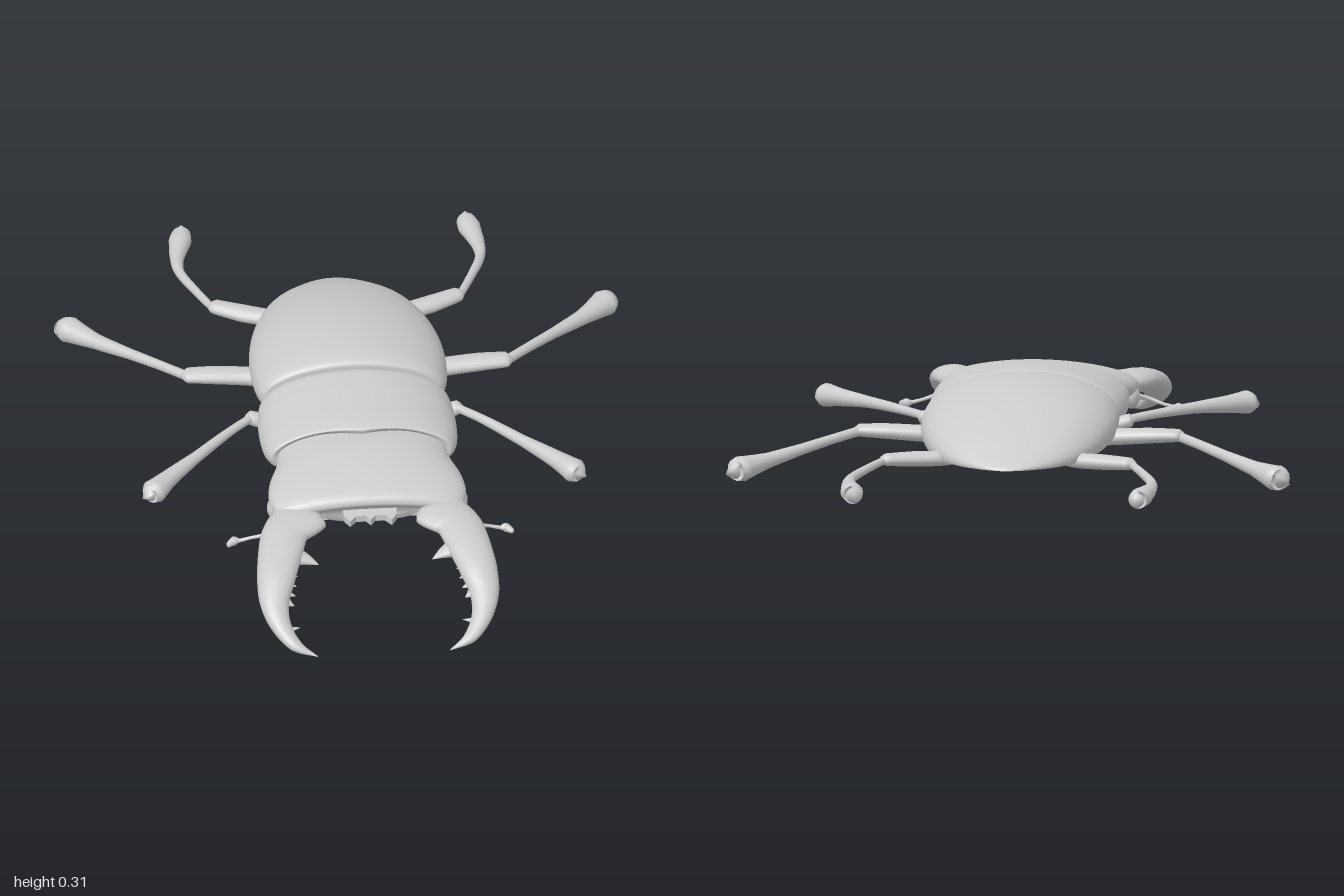
import * as THREE from 'three';

const solid = new THREE.MeshStandardMaterial({ color: 0xcccccc });
const thin = new THREE.MeshStandardMaterial({ color: 0xcccccc, side: THREE.DoubleSide });
const UP = new THREE.Vector3(0, 1, 0);

// Indexed surface from rows of points; closed joins the last column to the first
function grid(rows, cols, closed, point) {
  const pos = [], index = [], n = closed ? cols : cols + 1;
  for (let i = 0; i <= rows; i++)
    for (let j = 0; j < n; j++) pos.push(...point(i / rows, j / cols));
  for (let i = 0; i < rows; i++)
    for (let j = 0; j < cols; j++) {
      const a = i * n + j, c = i * n + (j + 1) % n;
      index.push(a, a + n, c, c, a + n, c + n);
    }
  const g = new THREE.BufferGeometry();
  g.setAttribute('position', new THREE.Float32BufferAttribute(pos, 3));
  g.setIndex(index);
  g.computeVertexNormals();
  return g;
}

function lerpAt(list, u) {
  const f = u * (list.length - 1), i = Math.min(Math.floor(f), list.length - 2);
  return list[i] + (list[i + 1] - list[i]) * (f - i);
}

function add(parent, name, geometry, material = solid) {
  const m = new THREE.Mesh(geometry, material);
  m.name = name;
  parent.add(m);
  return m;
}

// Tapering limb through stations [x, y, z, halfWidth, halfHeight], mirrored by side
function limb(parent, name, side, stations, sides = 16) {
  const path = new THREE.CatmullRomCurve3(stations.map(s => new THREE.Vector3(s[0] * side, s[1], s[2])));
  const w = stations.map(s => s[3]), h = stations.map(s => s[4] ?? s[3]);
  const g = grid((stations.length - 1) * 6, sides, true, (u, v) => {
    const t = path.getTangent(u), s = new THREE.Vector3().crossVectors(t, UP).normalize();
    const n = new THREE.Vector3().crossVectors(s, t), a = v * Math.PI * 2;
    return path.getPoint(u).addScaledVector(s, Math.cos(a) * lerpAt(w, u))
      .addScaledVector(n, Math.sin(a) * lerpAt(h, u)).toArray();
  });
  return add(parent, name, g);
}

// Arched shell, stations front to back [z, halfWidth, edgeY, topY]; the rim curls under
function shell(parent, name, stations, curl = 0.3, shift = () => 0) {
  const path = new THREE.CatmullRomCurve3(stations.map(s => new THREE.Vector3(s[1], s[3], s[0])));
  const edge = stations.map(s => s[2]);
  const g = grid((stations.length - 1) * 6, 40, false, (u, v) => {
    const p = path.getPoint(u), e = lerpAt(edge, u);
    const a = -curl + v * (Math.PI + 2 * curl);
    const x = Math.max(p.x, 0) * Math.cos(a);
    return [x, e + (p.y - e) * Math.sin(a), p.z + shift(x, u)];
  });
  return add(parent, name, g, thin);
}

export function createModel() {
  const beetle = new THREE.Group();
  beetle.name = 'beetle';

  // Body shells
  shell(beetle, 'wingCases', [
    [-0.035, 0.235, 0.205, 0.283], [-0.04, 0.258, 0.2, 0.305], [-0.07, 0.272, 0.198, 0.316],
    [-0.2, 0.282, 0.188, 0.315], [-0.33, 0.27, 0.178, 0.298], [-0.45, 0.24, 0.166, 0.267],
    [-0.56, 0.19, 0.156, 0.226], [-0.64, 0.122, 0.15, 0.185], [-0.69, 0.05, 0.147, 0.157],
    [-0.703, 0, 0.145, 0.146]], 0.2);
  shell(beetle, 'pronotum', [
    [0.262, 0.24, 0.205, 0.268], [0.262, 0.262, 0.2, 0.283], [0.22, 0.277, 0.19, 0.292],
    [0.13, 0.284, 0.185, 0.3], [0.04, 0.28, 0.185, 0.306], [-0.01, 0.268, 0.19, 0.305],
    [-0.03, 0.24, 0.195, 0.283]], 0.35,
    (x, u) => u < 0.35 ? (1 - u / 0.35) * -0.018 * Math.sin(Math.min(Math.abs(x) / 0.25, 1) * Math.PI) : 0);
  shell(beetle, 'head', [
    [0.5, 0, 0.15, 0.152], [0.515, 0.18, 0.155, 0.185], [0.528, 0.225, 0.165, 0.205],
    [0.515, 0.258, 0.175, 0.226], [0.46, 0.282, 0.18, 0.245], [0.38, 0.277, 0.182, 0.262],
    [0.3, 0.25, 0.19, 0.27], [0.22, 0.24, 0.2, 0.265]], 0.35);

  // Underside of the head and thorax
  shell(beetle, 'chin', [
    [0.515, 0.13, 0.18, 0.15], [0.5, 0.19, 0.19, 0.128], [0.43, 0.22, 0.19, 0.128],
    [0.35, 0.2, 0.19, 0.15], [0.28, 0.17, 0.2, 0.18]], 0);
  const sternum = add(beetle, 'sternum', new THREE.SphereGeometry(1, 28, 16));
  sternum.scale.set(0.22, 0.055, 0.16);
  sternum.position.set(0, 0.195, -0.04);

  // Notched lip between the jaws
  const lip = new THREE.Shape();
  [[-0.08, 0.49], [-0.075, 0.545], [-0.06, 0.572], [-0.042, 0.548], [-0.015, 0.545], [0, 0.568],
    [0.015, 0.545], [0.042, 0.548], [0.06, 0.572], [0.075, 0.545], [0.08, 0.49]]
    .forEach(([x, z], i) => i ? lip.lineTo(x, z) : lip.moveTo(x, z));
  const lipGeo = new THREE.ExtrudeGeometry(lip, { depth: 0.02, bevelEnabled: false });
  lipGeo.rotateX(Math.PI / 2);
  add(beetle, 'lip', lipGeo).position.y = 0.18;

  for (const side of [1, -1]) {
    const half = new THREE.Group();
    half.name = side > 0 ? 'leftLimbs' : 'rightLimbs';
    beetle.add(half);

    // Curved jaw with teeth on its inner edge
    limb(half, 'jaw', side, [
      [0.19, 0.17, 0.49, 0.04, 0.02], [0.205, 0.168, 0.53, 0.085, 0.03], [0.248, 0.165, 0.59, 0.068, 0.032],
      [0.272, 0.15, 0.68, 0.064, 0.035], [0.292, 0.125, 0.77, 0.055, 0.035],
      [0.302, 0.093, 0.84, 0.042, 0.03], [0.288, 0.057, 0.905, 0.03, 0.024],
      [0.25, 0.025, 0.96, 0.02, 0.016], [0.19, 0.006, 0.992, 0.001]], 20);
    limb(half, 'largeTooth', side, [[0.25, 0.145, 0.67, 0.045, 0.025],
      [0.2, 0.138, 0.69, 0.022, 0.014], [0.163, 0.13, 0.71, 0.001]], 10);
    for (let i = 0; i < 4; i++)
      limb(half, 'smallTooth', side, [[0.262, 0.128 - i * 0.013, 0.745 + i * 0.03, 0.016, 0.012],
        [0.228 + i * 0.006, 0.124 - i * 0.013, 0.755 + i * 0.03, 0.001]], 8);
    limb(half, 'tipTooth', side, [[0.275, 0.05, 0.915, 0.018, 0.012],
      [0.235, 0.05, 0.905, 0.001]], 8);

    // Eye and antenna
    const eye = add(half, 'eye', new THREE.SphereGeometry(0.036, 18, 12));
    eye.scale.x = 0.75;
    eye.position.set(side * 0.262, 0.148, 0.44);
    limb(half, 'antenna', side, [[0.24, 0.145, 0.5, 0.008], [0.3, 0.125, 0.535, 0.006],
      [0.345, 0.11, 0.528, 0.005], [0.375, 0.102, 0.527, 0.006], [0.39, 0.1, 0.525, 0.014],
      [0.41, 0.096, 0.54, 0.007], [0.413, 0.096, 0.542, 0.001]], 8);

    // Front leg
    limb(half, 'frontThigh', side, [[0.035, 0.082, 0, 0.002], [0.045, 0.084, 0, 0.026, 0.018],
      [0.12, 0.105, 0, 0.036, 0.025], [0.22, 0.135, 0.005, 0.03, 0.022],
      [0.3, 0.163, 0, 0.022, 0.02], [0.315, 0.165, 0, 0.002]]);
    limb(half, 'frontShin', side, [[0.285, 0.165, -0.005, 0.012], [0.36, 0.168, 0.07, 0.013],
      [0.47, 0.166, 0.19, 0.017], [0.56, 0.16, 0.285, 0.027, 0.026],
      [0.605, 0.156, 0.338, 0.038, 0.034], [0.618, 0.155, 0.352, 0.024], [0.616, 0.155, 0.35, 0.001]]);

    // Middle leg
    limb(half, 'middleThigh', side, [[0.12, 0.155, -0.17, 0.002], [0.135, 0.153, -0.175, 0.024],
      [0.24, 0.155, -0.21, 0.033, 0.025], [0.38, 0.163, -0.222, 0.034, 0.022],
      [0.46, 0.165, -0.225, 0.03, 0.018], [0.48, 0.165, -0.228, 0.002]]);
    limb(half, 'middleShin', side, [[0.455, 0.163, -0.22, 0.014], [0.53, 0.152, -0.3, 0.014],
      [0.61, 0.138, -0.385, 0.016], [0.7, 0.122, -0.48, 0.024, 0.022],
      [0.77, 0.112, -0.56, 0.042, 0.037], [0.785, 0.11, -0.577, 0.03], [0.782, 0.11, -0.574, 0.001]]);

    // Hind leg
    limb(half, 'hindThigh', side, [[0.09, 0.15, -0.42, 0.002], [0.105, 0.148, -0.435, 0.02],
      [0.19, 0.145, -0.515, 0.03, 0.022], [0.27, 0.147, -0.548, 0.032, 0.022],
      [0.35, 0.15, -0.585, 0.026, 0.018], [0.372, 0.15, -0.598, 0.002]]);
    limb(half, 'hindShin', side, [[0.355, 0.148, -0.58, 0.011], [0.395, 0.142, -0.68, 0.012],
      [0.432, 0.134, -0.79, 0.014], [0.433, 0.13, -0.86, 0.02, 0.018],
      [0.416, 0.126, -0.955, 0.033, 0.028], [0.409, 0.125, -0.993, 0.026], [0.41, 0.125, -0.99, 0.001]]);
  }
  return beetle;
}
